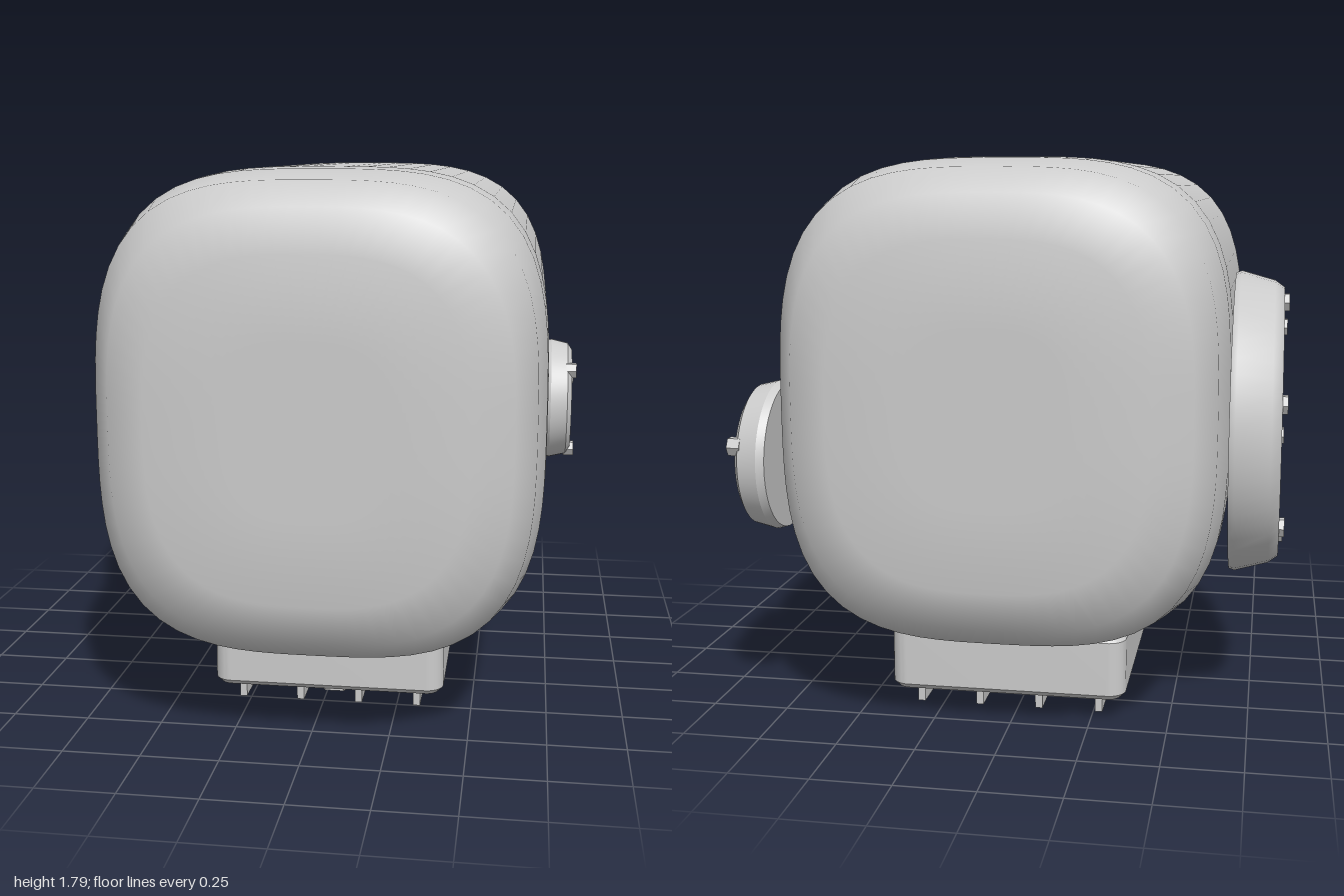
import * as THREE from 'three';
import { mergeVertices, toCreasedNormals } from 'three/addons/utils/BufferGeometryUtils.js';

const MID = 0.024; // centre line of the housing
const grey = new THREE.MeshStandardMaterial({ color: 0xcccccc });

function part(name, geometry, x = 0, y = 0, z = 0) {
  const mesh = new THREE.Mesh(geometry, grey);
  mesh.name = name;
  mesh.position.set(x, y, z);
  return mesh;
}

// Soft box: superellipse sections lofted along z, closed at both ends
function housingGeometry() {
  // z, half width, half height, squareness exponent
  const end = [
    [1, 0, 0, 2.9], [1, 0.25, 0.27, 2.9], [1, 0.485, 0.525, 2.9], [0.955, 0.605, 0.655, 3.05],
    [0.86, 0.67, 0.728, 3.25], [0.68, 0.698, 0.757, 3.4], [0.54, 0.702, 0.762, 3.45],
  ];
  const rings = [...end, ...end.slice().reverse().map(([z, ...r]) => [-z, ...r])];
  const n = 72, pos = [], index = [];
  for (const [z, w, h, e] of rings) {
    for (let i = 0; i < n; i++) {
      const a = (i / n) * Math.PI * 2, c = Math.cos(a), s = Math.sin(a);
      const k = Math.pow(Math.abs(c) ** e + Math.abs(s) ** e, -1 / e);
      pos.push(w * c * k, h * s * k, z);
    }
  }
  for (let r = 0; r < rings.length - 1; r++) {
    for (let i = 0; i < n; i++) {
      const j = (i + 1) % n, a = r * n + i, b = r * n + j, c = a + n, d = b + n;
      // the first and last bands are fans around the end centres
      if (r > 0) index.push(a, c, b);
      if (r < rings.length - 2) index.push(b, c, d);
    }
  }
  let g = new THREE.BufferGeometry();
  g.setAttribute('position', new THREE.Float32BufferAttribute(pos, 3));
  g.setIndex(index);
  g = mergeVertices(g, 1e-5);
  g.computeVertexNormals();
  return g;
}

// Round cover with hex bolts; crease is the angle above which edges stay sharp
function cover(name, profile, crease, boltRing, boltCount, side) {
  const group = new THREE.Group();
  group.name = name;
  const points = profile.map(([r, h]) => new THREE.Vector2(r, h));
  const disc = new THREE.LatheGeometry(points, 56);
  disc.rotateZ(-side * Math.PI / 2);
  group.add(part(name + 'Disc', toCreasedNormals(disc, crease)));
  const top = profile[profile.length - 1][1];
  const bolt = new THREE.CylinderGeometry(0.031, 0.031, 0.04, 6).rotateZ(Math.PI / 2);
  for (let i = 0; i < boltCount; i++) {
    const a = THREE.MathUtils.degToRad(43) + (i / boltCount) * Math.PI * 2;
    group.add(part(name + 'Bolt', toCreasedNormals(bolt, 0.4),
      side * (top - 0.004), Math.sin(a) * boltRing, Math.cos(a) * boltRing));
  }
  return group;
}

// Rounded-corner pan with a small bevel along its edges
function panGeometry(w, d, h, r, bevel) {
  const x = w / 2 - bevel, y = d / 2 - bevel;
  const s = new THREE.Shape();
  s.moveTo(-x + r, -y);
  s.lineTo(x - r, -y).absarc(x - r, -y + r, r, -Math.PI / 2, 0);
  s.lineTo(x, y - r).absarc(x - r, y - r, r, 0, Math.PI / 2);
  s.lineTo(-x + r, y).absarc(-x + r, y - r, r, Math.PI / 2, Math.PI);
  s.lineTo(-x, -y + r).absarc(-x + r, -y + r, r, Math.PI, Math.PI * 1.5);
  const g = new THREE.ExtrudeGeometry(s, {
    depth: h - 2 * bevel, bevelThickness: bevel, bevelSize: bevel, bevelSegments: 1, curveSegments: 6,
  });
  g.translate(0, 0, bevel).rotateX(-Math.PI / 2);
  return toCreasedNormals(g, 0.5);
}

export function createModel() {
  const model = new THREE.Group();
  model.name = 'gearHousing';

  model.add(part('housing', housingGeometry(), MID, 1.03, 0));

  // Large cover on the right side, softly rounded into its face
  const large = cover('largeCover',
    [[0, 0], [0.486, 0], [0.492, 0.018], [0.462, 0.125], [0.44, 0.155], [0, 0.155]], 1.1, 0.41, 6, -1);
  large.position.set(-0.677, 0.938, -0.355);
  model.add(large);

  // Small cover on the left side
  const small = cover('smallCover',
    [[0, 0], [0.232, 0], [0.24, 0.025], [0.225, 0.09], [0.2, 0.107], [0, 0.107]], 0.45, 0.203, 3, 1);
  small.position.set(0.727, 0.848, -0.705);
  model.add(small);

  // Sump pan, cooling fins and drain plug underneath
  model.add(part('sumpPan', panGeometry(0.77, 1.29, 0.212, 0.04, 0.018), MID, 0.073, -0.058));
  for (let i = 0; i < 4; i++) {
    model.add(part('sumpFin', new THREE.BoxGeometry(0.024, 0.077, 1.17), MID + (i - 1.5) * 0.197, 0.0515, -0.057));
  }
  const plug = new THREE.CylinderGeometry(0.065, 0.065, 0.09, 6).rotateY(Math.PI / 2);
  model.add(part('drainPlug', toCreasedNormals(plug, 0.4), MID, 0.045, 0.355));

  return model;
}
